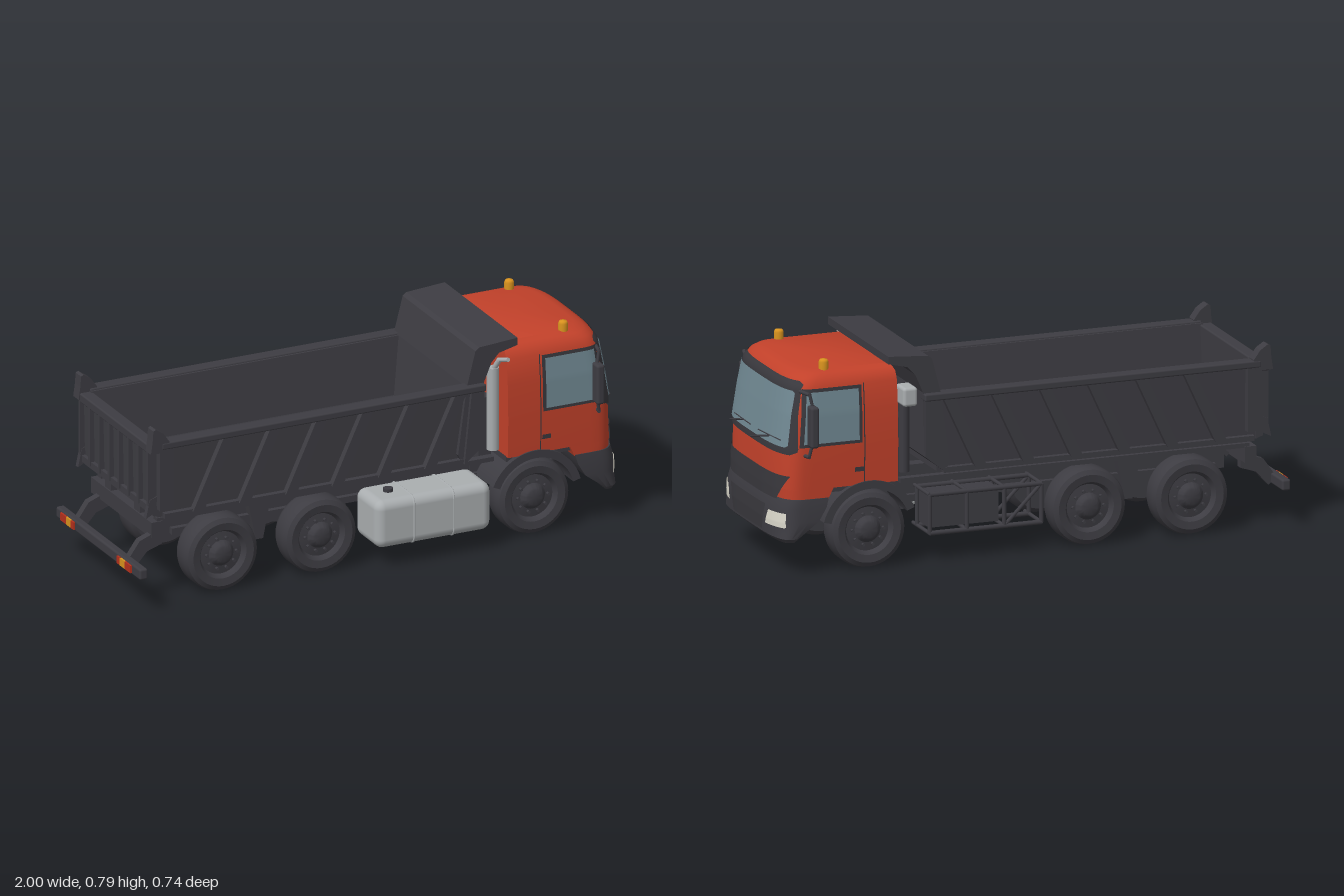
import * as THREE from 'three';
import { toCreasedNormals } from 'three/addons/utils/BufferGeometryUtils.js';
import { RoundedBoxGeometry } from 'three/addons/geometries/RoundedBoxGeometry.js';

const V = (x, y, z) => new THREE.Vector3(x, y, z);
const paint = (name, color, side = THREE.FrontSide) => {
  const m = new THREE.MeshStandardMaterial({ color, side });
  m.name = name;
  return m;
};

// Cab outline by height: [y, back x, front x, half width]
const CAB = [[0.32, 0.53, 0.985, 0.299], [0.47, 0.53, 0.978, 0.302], [0.6, 0.53, 0.958, 0.298], [0.7, 0.53, 0.94, 0.288],
  [0.728, 0.53, 0.922, 0.272], [0.742, 0.535, 0.9, 0.255], [0.75, 0.545, 0.87, 0.23]];
const BUMPER = [[0.125, 0.93, 0.98, 0.29], [0.14, 0.92, 0.997, 0.303], [0.2, 0.84, 1, 0.305], [0.25, 0.81, 0.998, 0.305], [0.285, 0.8, 0.988, 0.301]];
const N = 3.5, D = 0.12; // roundness and depth of the bowed front

function level(levels, y) {
  if (y <= levels[0][0]) return levels[0];
  for (let i = 1; i < levels.length; i++) {
    const a = levels[i - 1], b = levels[i];
    if (y <= b[0]) return a.map((v, k) => v + (b[k] - v) * (y - a[0]) / (b[0] - a[0]));
  }
  return levels[levels.length - 1];
}
const frontX = (levels, y, z) => {
  const [, , xf, w] = level(levels, y);
  return xf - D + D * Math.pow(Math.max(0, 1 - Math.pow(Math.abs(z) / w, N)), 1 / N);
};
const sideZ = (x, y) => {
  const [, , xf, w] = level(CAB, y);
  return w * Math.pow(1 - Math.pow(Math.min(1, Math.max(0, (x - xf + D) / D)), N), 1 / N);
};

// Closed shell through the outlines, capped at both ends
function loft(levels) {
  const pos = [], idx = [], S = 32, n = S + 3;
  for (const [y, xb, xf, w] of levels) {
    const d = Math.min(D, xf - xb - 0.005);
    for (let i = 0; i <= S; i++) {
      const a = -Math.PI / 2 + Math.PI * i / S, s = Math.sin(a);
      pos.push(xf - d + d * Math.pow(Math.max(0, Math.cos(a)), 2 / N), y, -Math.sign(s) * w * Math.pow(Math.abs(s), 2 / N));
    }
    pos.push(xb, y, -w, xb, y, w);
  }
  const L = levels.length, c = L * n;
  for (const l of [levels[0], levels[L - 1]]) pos.push((l[1] + l[2]) / 2, l[0], 0);
  for (let i = 0; i < n; i++) {
    const k = (i + 1) % n;
    for (let j = 0; j < L - 1; j++) {
      const a = j * n + i, b = j * n + k;
      idx.push(a, b, b + n, a, b + n, a + n);
    }
    idx.push(c, k, i, c + 1, (L - 1) * n + i, (L - 1) * n + k);
  }
  const g = new THREE.BufferGeometry();
  g.setAttribute('position', new THREE.Float32BufferAttribute(pos, 3));
  g.setIndex(idx);
  return toCreasedNormals(g, 0.7);
}

// Thin curved sheet from fn(u, v) -> [x, y, z]
function sheet(fn, nu = 32, nv = 16) {
  const g = new THREE.PlaneGeometry(1, 1, nu, nv), p = g.attributes.position;
  for (let i = 0; i < p.count; i++) p.setXYZ(i, ...fn(p.getX(i) + 0.5, p.getY(i) + 0.5));
  g.computeVertexNormals();
  return g;
}
const lerp = THREE.MathUtils.lerp;
// Sheet lying on a bowed front, with rounded corners of radius r
const frontSheet = (lv, y0, y1, w0, w1, off, r = 0) => sheet((u, v) => {
  const y = lerp(y0, y1, v), k = r ? Math.max(0, 1 - Math.min(y - y0, y1 - y) / r) : 0;
  const z = (u * 2 - 1) * (lerp(w0, w1, v) - r * (1 - Math.sqrt(Math.max(0, 1 - k * k))));
  return [frontX(lv, y, z) + off, y, z];
}, 48, 24);

function profile(points, depth) {
  const g = new THREE.ExtrudeGeometry(new THREE.Shape(points.map(p => new THREE.Vector2(...p))), { depth, bevelEnabled: false });
  return g.translate(0, 0, -depth / 2);
}

export function createModel() {
  const red = paint('cab red', 0xc2412a), dark = paint('dark grey', 0x3d3c42), darkSheet = paint('dark trim', 0x39383d, THREE.DoubleSide);
  const glass = paint('glass', 0x708892, THREE.DoubleSide), metal = paint('light metal', 0xaaaeb0), lamp = paint('headlight', 0xdfdccf, THREE.DoubleSide);
  const amber = paint('amber', 0xd8921e), tailRed = paint('tail lamp red', 0xb3301c);
  const model = new THREE.Group(), truck = new THREE.Group(), bed = new THREE.Group();
  model.name = 'dumpTruck';
  truck.name = 'truck';
  truck.position.z = -0.013;
  bed.name = 'tipperBed';
  bed.position.z = 0.007;
  model.add(truck);
  truck.add(bed);
  let parent = truck;
  const add = (name, geo, mat, x = 0, y = 0, z = 0) => {
    const m = new THREE.Mesh(geo, mat);
    m.name = name;
    m.position.set(x, y, z);
    parent.add(m);
    return m;
  };
  const box = (name, mat, x0, x1, y0, y1, z0, z1, r = 0) => {
    const s = [x1 - x0, y1 - y0, z1 - z0];
    return add(name, r ? new RoundedBoxGeometry(...s, 4, r) : new THREE.BoxGeometry(...s), mat, (x0 + x1) / 2, (y0 + y1) / 2, (z0 + z1) / 2);
  };
  const rod = (name, mat, a, b, r) => {
    const m = add(name, new THREE.CylinderGeometry(r, r, a.distanceTo(b), 10), mat);
    m.position.copy(a).lerp(b, 0.5);
    m.quaternion.setFromUnitVectors(V(0, 1, 0), b.clone().sub(a).normalize());
    return m;
  };
  const sides = [1, -1];

  // Cab shell, bumper, grille and windscreen
  add('cab', loft(CAB), red);
  add('cabLowerFront', loft([[0.28, 0.8, 0.984, 0.298], [0.322, 0.78, 0.985, 0.299]]), red);
  add('bumper', loft(BUMPER), dark);
  add('grille', frontSheet(CAB, 0.28, 0.372, 0.225, 0.282, 0.005), darkSheet);
  for (const [y, w] of [[0.345, 0.2], [0.3, 0.17]]) add('grilleBar', frontSheet(CAB, y - 0.012, y + 0.012, w - 0.01, w + 0.01, 0.011), darkSheet);
  add('lowerIntake', frontSheet(BUMPER, 0.15, 0.25, 0.14, 0.17, 0.003), darkSheet);
  add('windscreenFrame', frontSheet(CAB, 0.452, 0.72, 0.298, 0.272, 0.004, 0.02), darkSheet);
  add('windscreen', frontSheet(CAB, 0.478, 0.686, 0.273, 0.262, 0.008, 0.01), glass);
  for (const z of [0, -0.245]) {
    const at = (y, dz) => V(frontX(CAB, y, z + dz) + 0.014, y, z + dz);
    rod('wiperArm', dark, at(0.465, 0.228), at(0.503, 0.075), 0.003);
    rod('wiperBlade', dark, at(0.503, 0.17), at(0.503, 0.0), 0.002);
  }

  for (const s of sides) {
    // Cab side details
    const onSide = (xa, xb0, xb1, y0, y1, off) => sheet((u, v) => {
      const y = lerp(y0, y1, v), x = lerp(xa, lerp(xb0, xb1, v), u);
      return [x, y, s * (sideZ(x, y) + off)];
    });
    add('sideWindowFrame', onSide(0.67, 0.913, 0.895, 0.48, 0.695, 0.003), darkSheet);
    add('sideWindow', onSide(0.682, 0.898, 0.882, 0.492, 0.683, 0.006), glass);
    add('doorSeam', onSide(0.659, 0.663, 0.663, 0.33, 0.7, 0.002), darkSheet);
    add('doorHandle', onSide(0.665, 0.7, 0.7, 0.373, 0.39, 0.006), darkSheet);
    add('headlight', sheet((u, v) => {
      const y = lerp(0.18, 0.235, v), z = s * lerp(lerp(0.174, 0.196, v), 0.285, u);
      return [frontX(BUMPER, y, z) + 0.005, y, z];
    }), lamp);
    box('mirror', dark, 0.86, 0.892, 0.49, 0.645, s * 0.3385 - 0.025, s * 0.3385 + 0.025, 0.01);
    for (const [y, ya] of [[0.645, 0.685], [0.495, 0.45]]) {
      rod('mirrorArm', dark, V(0.9, ya, s * 0.265), V(0.885, ya, s * 0.325), 0.007);
      rod('mirrorStay', dark, V(0.885, ya + 0.005, s * 0.325), V(0.876, y, s * 0.33), 0.006);
    }
    // Beacons
    add('beacon', new THREE.LatheGeometry([[0.018, -0.01], [0.018, 0.025], [0.014, 0.034], [0, 0.037]].map(p => new THREE.Vector2(...p)), 16), amber, 0.79, 0.75, s * 0.222);
    // Front mudguards
    const arch = new THREE.Shape();
    arch.absarc(0, 0, 0.186, 0.25, 2.75, false);
    arch.absarc(0, 0, 0.156, 2.75, 0.25, true);
    add('mudguard', new THREE.ExtrudeGeometry(arch, { depth: 0.145, bevelEnabled: false, curveSegments: 20 }), dark, 0.64, 0.147, s > 0 ? 0.16 : -0.305);
    // Chassis rails and tipper subframe
    box('chassisRail', dark, -0.8, 0.9, 0.2, 0.28, s * 0.12 - 0.025, s * 0.12 + 0.025);
    box('subframeRail', dark, -0.88, 0.5, 0.278, 0.332, s * 0.12 - 0.025, s * 0.12 + 0.025);
    box('sideBeam', dark, -0.86, 0.5, 0.295, 0.312, s * 0.23 - 0.015, s * 0.23 + 0.015);
    // Rear underrun bar supports
    add('barBracket', profile([[-0.84, 0.27], [-0.84, 0.21], [-0.9, 0.19], [-0.95, 0.135], [-0.98, 0.165], [-0.93, 0.235], [-0.89, 0.25]], 0.03), dark, 0, 0, s * 0.21 + 0.02);
  }

  // Body sides: rails, slanted ribs, posts and tailgate ears
  parent = bed;
  for (const s of sides) {
    box('topRail', dark, -0.88, 0.43, 0.61, 0.637, s * 0.296 - 0.026, s * 0.296 + 0.026, 0.006);
    box('bottomRail', dark, -0.86, 0.35, 0.332, 0.352, s * 0.29 - 0.014, s * 0.29 + 0.014);
    for (let i = 0; i < 6; i++) {
      const x = -0.75 + i * 0.187;
      add('sideRib', profile([[x, 0.345], [x + 0.045, 0.345], [x + 0.17, 0.615], [x + 0.125, 0.615]], 0.026), dark, 0, 0, s * 0.299);
    }
    add('frontPost', profile([[0.345, 0.335], [0.425, 0.4], [0.425, 0.62], [0.375, 0.62]], 0.03), dark, 0, 0, s * 0.298);
    box('rearPost', dark, -0.885, -0.83, 0.37, 0.62, s * 0.3 - 0.015, s * 0.3 + 0.015);
    add('tailgateEar', profile([[-0.925, 0.6], [-0.86, 0.6], [-0.85, 0.64], [-0.875, 0.675], [-0.905, 0.695], [-0.915, 0.69], [-0.918, 0.65]], 0.045), dark, 0, 0, s * 0.298);
    add('tailgateLatch', profile([[-0.93, 0.34], [-0.89, 0.36], [-0.885, 0.42], [-0.915, 0.41]], 0.02), dark, 0, 0, s * 0.28);
  }

  // Tub, headboard with canopy, and tailgate
  const tub = profile([[-0.282, 0.335], [0.282, 0.335], [0.288, 0.63], [0.262, 0.63], [0.24, 0.41], [0.215, 0.375], [-0.215, 0.375], [-0.24, 0.41], [-0.262, 0.63], [-0.288, 0.63]], 1.25);
  add('tub', tub.rotateY(Math.PI / 2), dark, -0.255, 0, 0);
  add('headboard', profile([[0.345, 0.335], [0.425, 0.4], [0.43, 0.64], [0.46, 0.71], [0.49, 0.742], [0.565, 0.76], [0.565, 0.788], [0.41, 0.777], [0.395, 0.765], [0.36, 0.63], [0.325, 0.37]], 0.6), dark);
  add('tailgate', profile([[-0.9, 0.345], [-0.87, 0.335], [-0.87, 0.615], [-0.905, 0.615]], 0.57), dark);
  box('tailgateTopRail', dark, -0.92, -0.87, 0.59, 0.625, -0.3, 0.3, 0.006);
  box('tailgateBottomRail', dark, -0.915, -0.87, 0.36, 0.385, -0.29, 0.29);
  for (let i = 0; i < 8; i++) box('tailgateRib', dark, -0.92, -0.89, 0.37, 0.6, -0.287 + i * 0.08, -0.273 + i * 0.08);
  parent = truck;

  // Underrun bar with its lamps, slightly to the left of centre
  box('underrunBar', dark, -0.993, -0.96, 0.138, 0.18, -0.317, 0.375, 0.008);
  for (const s of sides) {
    const block = (name, mat, z, h) => box(name, mat, -1, -0.991, 0.145, 0.174, 0.02 + s * z - h, 0.02 + s * z + h);
    block('tailLamp', tailRed, 0.265, 0.024);
    block('rearIndicator', amber, 0.222, 0.019);
    block('rearReflector', tailRed, 0.19, 0.012);
  }

  // Chassis cross members, floor and engine
  box('underbody', dark, -0.76, 0.9, 0.2, 0.225, -0.165, 0.165);
  for (const x of [-0.78, -0.42, 0.0, 0.45]) box('crossMember', dark, x - 0.02, x + 0.02, 0.22, 0.3, -0.12, 0.12);
  box('rearCrossBeam', dark, -0.885, -0.84, 0.24, 0.3, -0.25, 0.25);
  box('engine', dark, 0.45, 0.94, 0.17, 0.33, -0.15, 0.15);
  box('cabFloor', dark, 0.53, 0.93, 0.3, 0.322, -0.285, 0.285);
  box('rearTower', dark, 0.46, 0.51, 0.28, 0.53, -0.2, 0.2);

  // Wheels: tyre and dished rim turned in one profile
  const wheel = (x, s, outer, h, dish) => {
    const pts = [[0, -h], [0.085, -h], [0.125, -h], [0.139, -h + 0.012], [0.145, -h + 0.03], [0.145, -0.03], [0.139, -0.01], [0.122, 0], [0.094, -0.004], [0.088, -0.012],
      [0.082, -dish], [0.05, -dish + 0.004], [0.042, -dish + 0.012], [0.036, -0.004], [0.028, 0], [0, 0]];
    const w = new THREE.Group();
    w.name = 'wheel';
    const tyre = new THREE.Mesh(toCreasedNormals(new THREE.LatheGeometry(pts.map(p => new THREE.Vector2(...p)), 40), 0.6), dark);
    tyre.name = 'tyre';
    w.add(tyre);
    for (let i = 0; i < 10; i++) {
      const a = i * Math.PI / 5, nut = new THREE.Mesh(new THREE.CylinderGeometry(0.006, 0.006, 0.014, 6), dark);
      nut.name = 'wheelNut';
      nut.position.set(0.06 * Math.cos(a), -dish + 0.008, 0.06 * Math.sin(a));
      w.add(nut);
    }
    w.position.set(x, 0.146, s * outer);
    w.rotation.x = s * Math.PI / 2;
    truck.add(w);
  };
  for (const x of [-0.617, -0.219, 0.64]) {
    for (const s of sides) wheel(x, s, 0.298, 0.115, 0.025);
    rod('axle', dark, V(x, 0.16, -0.2), V(x, 0.16, 0.2), 0.025);
  }
  for (const s of sides) {
    add('leafSpring', profile([[-0.62, 0.18], [-0.42, 0.23], [-0.22, 0.18], [-0.22, 0.155], [-0.42, 0.19], [-0.62, 0.155]], 0.04), dark, 0, 0, s * 0.14);
    add('springHanger', profile([[-0.46, 0.28], [-0.43, 0.13], [-0.4, 0.13], [-0.37, 0.28]], 0.04), dark, 0, 0, s * 0.16);
  }

  // Fuel tank on the left of the cab's rear, with straps and cap
  box('fuelTank', metal, -0.03, 0.435, 0.08, 0.265, 0.175, 0.366, 0.035);
  for (const x of [0.12, 0.28]) {
    const strap = add('tankStrap', new RoundedBoxGeometry(0.08, 0.191, 0.197, 4, 0.036), metal, x, 0.1725, 0.2705);
    strap.scale.x = 0.2;
  }
  add('tankCap', new THREE.CylinderGeometry(0.018, 0.018, 0.016, 16), dark, 0.06, 0.27, 0.27);

  // Equipment rack on the other side: boxed bay and open braced bays
  const c = (i, y, z) => V(-0.03 + i * 0.145, y, z);
  for (const z of [-0.17, -0.295]) {
    for (const y of [0.11, 0.255]) rod('rackRail', dark, c(0, y, z), c(3, y, z), 0.009);
    for (let i = 0; i < 4; i++) rod('rackPost', dark, c(i, 0.11, z), c(i, 0.255, z), 0.008);
    rod('rackBrace', dark, c(0, 0.255, z), c(1, 0.11, z), 0.007);
  }
  for (let i = 0; i < 4; i++) for (const y of [0.11, 0.255]) rod('rackCrossbar', dark, c(i, y, -0.295), c(i, y, -0.13), 0.007);
  box('batteryBox', dark, 0.13, 0.4, 0.125, 0.25, -0.275, -0.15);

  // Exhaust stack and air intake behind the cab
  rod('exhaustStack', metal, V(0.488, 0.35, 0.26), V(0.488, 0.67, 0.26), 0.023);
  rod('exhaustPipe', metal, V(0.49, 0.66, 0.26), V(0.5, 0.708, 0.29), 0.01);
  rod('exhaustTip', metal, V(0.5, 0.706, 0.288), V(0.51, 0.724, 0.343), 0.008);
  box('airIntake', metal, 0.462, 0.518, 0.6, 0.672, -0.325, -0.24, 0.012);
  rod('intakePipe', dark, V(0.488, 0.34, -0.25), V(0.488, 0.61, -0.25), 0.02);
  return model;
}
